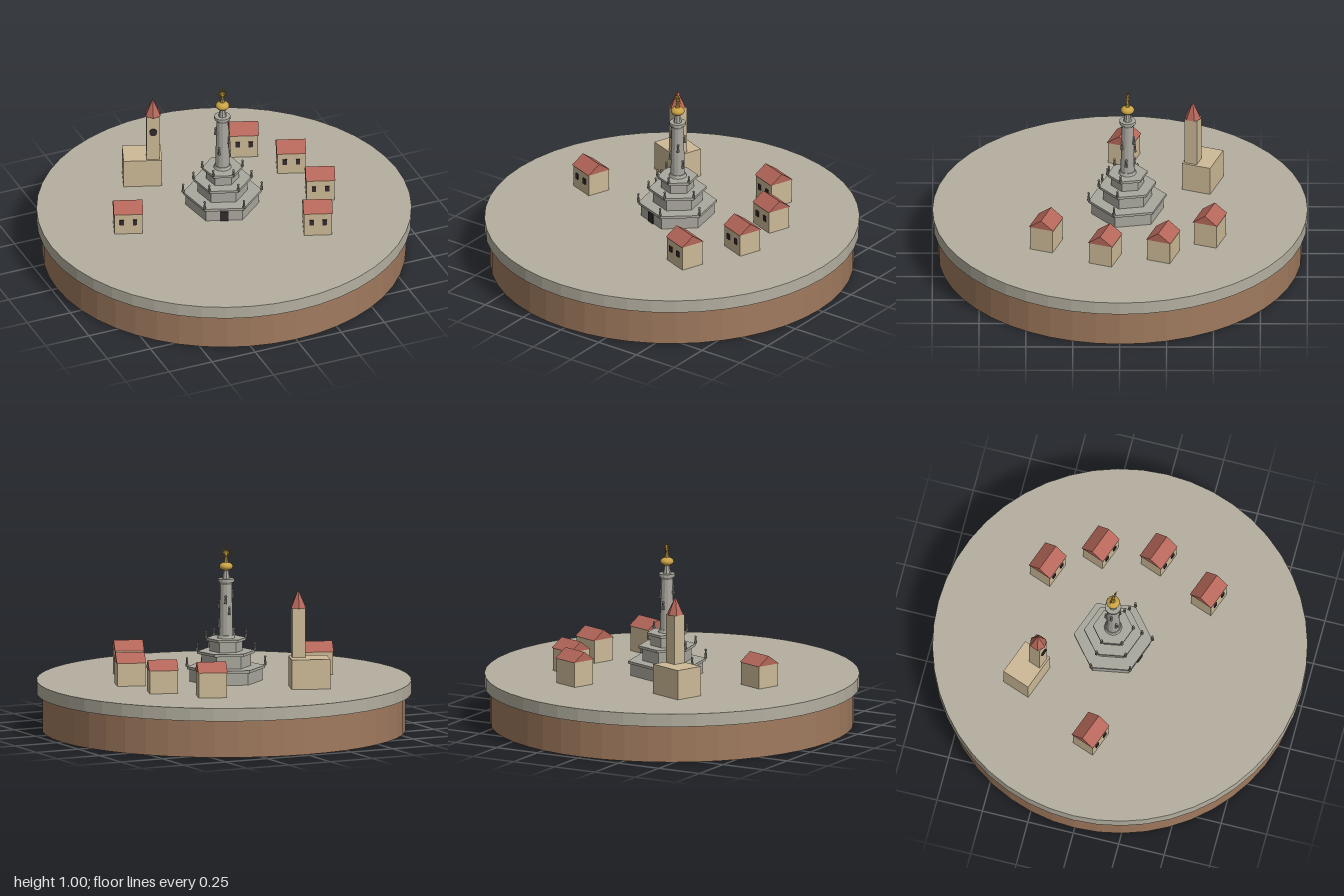
import * as THREE from 'three';

const mat = (name, color) => {
  const m = new THREE.MeshStandardMaterial({ color });
  m.name = name;
  return m;
};

export function createModel() {
  const paving = mat('paving', 0xb4afa0);
  const earth = mat('earth', 0xa07a5e);
  const stone = mat('stone', 0xaaa89e);
  const statueStone = mat('statue stone', 0x85837b);
  const plaster = mat('plaster', 0xcdba97);
  const tile = mat('roof tile', 0xb5675a);
  const dark = mat('dark opening', 0x35292e);
  const gold = mat('gold', 0xc9a245);

  const TURN = -0.35; // the whole town is turned by this angle
  const GROUND = 0.27;
  const model = new THREE.Group();
  model.name = 'townSquare';

  // faceted normals
  const flat = (geo) => {
    const g = geo.index ? geo.toNonIndexed() : geo;
    g.computeVertexNormals();
    return g;
  };
  const add = (parent, name, geo, material, x = 0, y = 0, z = 0) => {
    const mesh = new THREE.Mesh(geo, material);
    mesh.name = name;
    mesh.position.set(x, y, z);
    parent.add(mesh);
    return mesh;
  };
  const place = (name, x, z) => {
    const g = new THREE.Group();
    g.name = name;
    g.position.set(x, GROUND, z);
    g.rotation.y = TURN;
    model.add(g);
    return g;
  };
  const box = (parent, name, material, w, h, d, x, y, z) =>
    add(parent, name, new THREE.BoxGeometry(w, h, d), material, x, y + h / 2, z);
  const drum = (parent, name, material, rTop, rBottom, y0, y1, sides) =>
    add(parent, name, flat(new THREE.CylinderGeometry(rTop, rBottom, y1 - y0, sides)),
      material, 0, (y0 + y1) / 2, 0);

  // round base
  drum(model, 'earthBase', earth, 0.97, 0.97, 0, 0.2, 48);
  drum(model, 'pavedSlab', paving, 1, 1, 0.2, GROUND, 48);

  // houses: x, z, wall height
  const W = 0.15, D = 0.128;
  const gable = (w, d, h) => {
    const s = new THREE.Shape();
    s.moveTo(-d / 2, 0);
    s.lineTo(d / 2, 0);
    s.lineTo(0, h);
    s.closePath();
    const g = new THREE.ExtrudeGeometry(s, { depth: w, bevelEnabled: false });
    return g.translate(0, 0, -w / 2).rotateY(Math.PI / 2);
  };
  [
    [-0.55, -0.02, 0.122], [0.32, -0.48, 0.135], [0.487, -0.232, 0.124],
    [0.523, 0.078, 0.124], [0.373, 0.393, 0.136],
  ].forEach(([x, z, h]) => {
    const house = place('house', x, z);
    box(house, 'houseWalls', plaster, W, h, D, 0, 0, 0);
    add(house, 'houseRoof', gable(W + 0.007, D + 0.01, 0.05), tile, 0, h, 0);
    for (const s of [-1, 1])
      box(house, 'houseWindow', dark, 0.023, 0.032, 0.008, s * 0.035, h * 0.62 - 0.02, D / 2 + 0.002);
  });

  // church hall
  const hall = place('churchHall', -0.286, -0.44);
  box(hall, 'hallWalls', plaster, 0.206, 0.16, 0.16, 0, 0, 0);

  // bell tower with clock and spire
  const tower = place('bellTower', -0.246, -0.388);
  box(tower, 'towerWalls', plaster, 0.07, 0.425, 0.07, 0, 0, 0);
  const spire = drum(tower, 'towerSpire', tile, 0, 0.046, 0.425, 0.522, 6);
  spire.name = 'towerSpire';
  const clock = add(tower, 'clockFace',
    new THREE.CylinderGeometry(0.021, 0.021, 0.008, 20), dark, 0, 0.332, 0.037);
  clock.rotation.x = Math.PI / 2;

  // column monument
  const monument = place('monument', 0.008, -0.04);
  const statue = (parent, name, h, x, y, z) => {
    const g = new THREE.Group();
    g.name = name;
    g.position.set(x, y, z);
    parent.add(g);
    drum(g, 'statueBody', statueStone, 0.004, 0.009, 0, h * 0.78, 6);
    add(g, 'statueHead', new THREE.SphereGeometry(0.0065, 8, 6), statueStone, 0, h * 0.86, 0);
    return g;
  };

  // hexagonal tiers: cap radius, body radius, bottom, top, statue height
  [
    [0.21, 0.196, 0, 0.08, 0.052],
    [0.155, 0.133, 0.08, 0.162, 0.042],
    [0.108, 0.088, 0.162, 0.232, 0.038],
  ].forEach(([rCap, rBody, y0, y1, h]) => {
    const turn = Math.PI / 6;
    drum(monument, 'tierBody', stone, rBody, rBody, y0, y1 - 0.014, 6).rotation.y = turn;
    drum(monument, 'tierCap', stone, rCap, rCap, y1 - 0.014, y1, 6).rotation.y = turn;
    for (const deg of [30, 90, 270, 330]) {
      const a = THREE.MathUtils.degToRad(deg);
      statue(monument, 'tierStatue', h, Math.sin(a) * rCap, y1, Math.cos(a) * rCap);
    }
  });
  box(monument, 'monumentDoor', dark, 0.045, 0.056, 0.008, 0, 0, 0.196 * Math.cos(Math.PI / 6) + 0.002);

  // column shaft, foot and capital
  drum(monument, 'columnFoot', stone, 0.042, 0.048, 0.232, 0.248, 12);
  drum(monument, 'columnShaft', stone, 0.032, 0.038, 0.248, 0.53, 12);
  drum(monument, 'columnCapitalNeck', stone, 0.041, 0.033, 0.522, 0.536, 12);
  drum(monument, 'columnCapital', stone, 0.044, 0.044, 0.536, 0.552, 12);
  drum(monument, 'globePedestal', stone, 0.013, 0.022, 0.552, 0.6, 8);

  // small figures climbing the shaft
  [[290, 0.445], [60, 0.39], [170, 0.42], [330, 0.33], [200, 0.36], [100, 0.29]].forEach(([deg, y]) => {
    const a = THREE.MathUtils.degToRad(deg);
    statue(monument, 'shaftFigure', 0.045, Math.sin(a) * 0.04, y, Math.cos(a) * 0.04);
  });

  // gilded globe, figure and star
  const globe = add(monument, 'goldGlobe', new THREE.SphereGeometry(0.037, 16, 10), gold, 0, 0.617, 0);
  globe.scale.y = 0.62;
  drum(monument, 'goldFigure', gold, 0.005, 0.014, 0.63, 0.675, 8);
  add(monument, 'goldFigureHead', new THREE.SphereGeometry(0.008, 8, 6), gold, 0, 0.682, 0);
  const star = new THREE.Group();
  star.name = 'goldStar';
  star.position.y = 0.69;
  monument.add(star);
  for (let i = 0; i < 12; i++) {
    const ray = new THREE.ConeGeometry(0.0045, 0.045, 4).translate(0, 0.0225, 0);
    add(star, 'starRay', ray, gold).rotation.z = (i * Math.PI) / 6;
  }
  return model;
}
